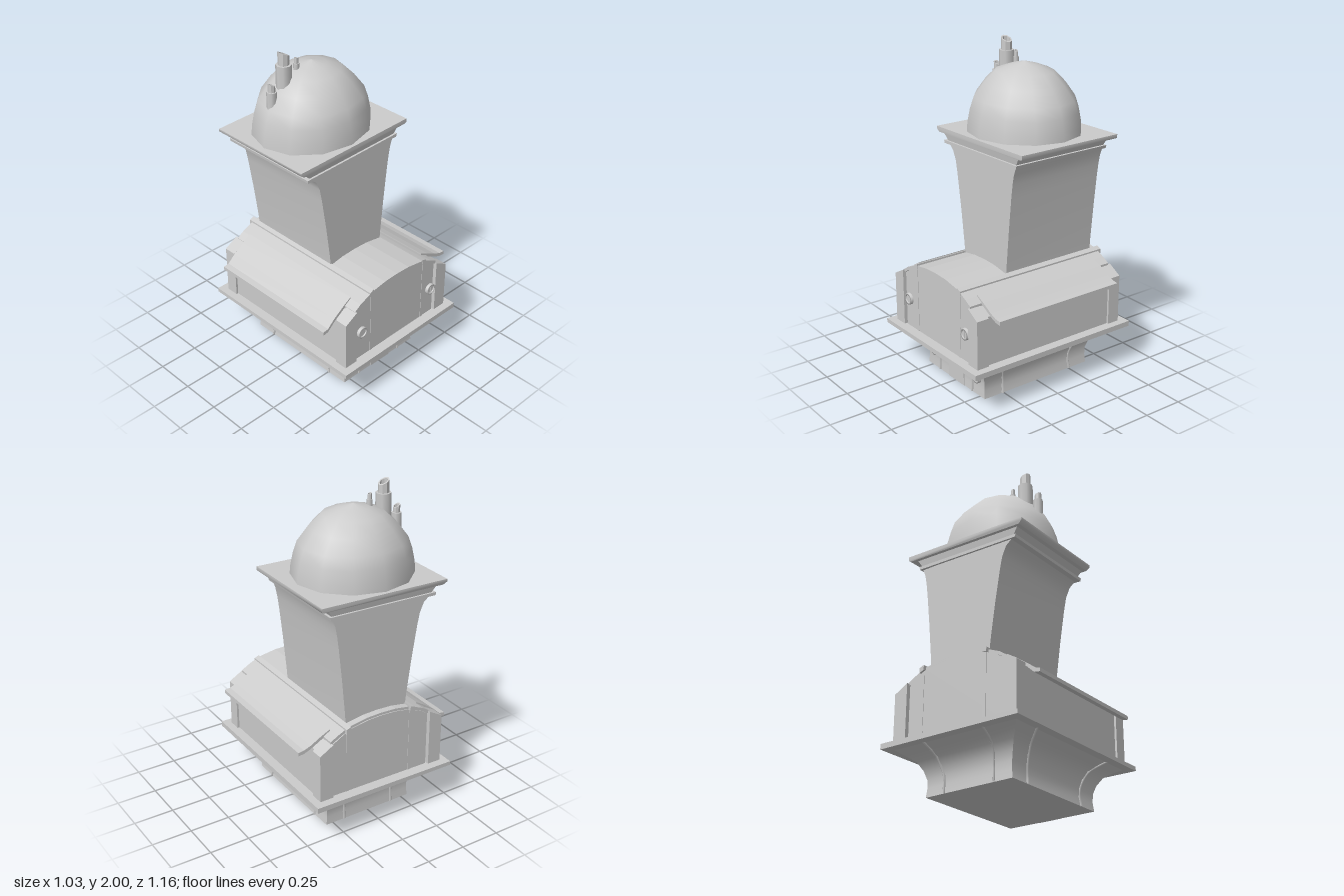
import * as THREE from 'three';

const grey = new THREE.MeshStandardMaterial({ color: 0xcccccc });
const twoSided = new THREE.MeshStandardMaterial({ color: 0xcccccc, side: THREE.DoubleSide });

function add(parent, name, geometry, material = grey) {
  const mesh = new THREE.Mesh(geometry, material);
  mesh.name = name;
  parent.add(mesh);
  return mesh;
}

// Four-sided loft; each section is [xLeft, xRight, yLeft, yRight, zBack, zFront], bottom to top.
// Sides are smooth along their height, with sharp corners.
function loft(sections) {
  const pos = [], idx = [];
  const rings = sections.map(([xl, xr, yl, yr, zb, zf]) =>
    [[xl, yl, zf], [xr, yr, zf], [xr, yr, zb], [xl, yl, zb]]);
  for (let s = 0; s < 4; s++) {
    const start = pos.length / 3;
    rings.forEach(r => pos.push(...r[s], ...r[(s + 1) % 4]));
    for (let i = 0; i < rings.length - 1; i++) {
      const a = start + i * 2;
      idx.push(a, a + 1, a + 3, a, a + 3, a + 2);
    }
  }
  const cap = (ring, flip) => {
    const c = pos.length / 3;
    ring.forEach(p => pos.push(...p));
    idx.push(...(flip ? [c, c + 2, c + 1, c, c + 3, c + 2] : [c, c + 1, c + 2, c, c + 2, c + 3]));
  };
  cap(rings[0], true);
  cap(rings[rings.length - 1], false);
  const g = new THREE.BufferGeometry();
  g.setAttribute('position', new THREE.Float32BufferAttribute(pos, 3));
  g.setIndex(idx);
  g.computeVertexNormals();
  return g;
}

// Extrudes an x-y outline between two z positions.
function prism(points, z0, z1) {
  const shape = new THREE.Shape(points.map(p => new THREE.Vector2(...p)));
  const g = new THREE.ExtrudeGeometry(shape, { depth: z1 - z0, bevelEnabled: false });
  return g.translate(0, 0, z0);
}

// A sheet of even thickness that follows a line of x-y points.
function sheet(points, thickness, z0, z1) {
  return prism([...points.map(([x, y]) => [x, y - thickness]), ...points.slice().reverse()], z0, z1);
}

// Flare of the pedestal: [y, half width, half depth]
const flare = [[0, 0.297, 0.388], [0.05, 0.29, 0.385], [0.1, 0.292, 0.386], [0.15, 0.307, 0.4],
  [0.2, 0.335, 0.43], [0.235, 0.38, 0.475], [0.27, 0.435, 0.54]];

function buildPedestal(root) {
  const g = new THREE.Group();
  g.name = 'pedestal';
  root.add(g);
  add(g, 'flaredFoot', loft(flare.map(([y, hx, hz]) => [-hx, hx, y, y, -hz, hz])));
  // Curved ribs on all four faces
  const ribLine = (fn) => new THREE.TubeGeometry(
    new THREE.CatmullRomCurve3(flare.map(fn)), 14, 0.009, 4);
  for (const s of [-1, 1]) {
    for (const m of [-1, 1]) {
      add(g, 'endRib', ribLine(([y, , hz]) =>
        new THREE.Vector3(s * (0.17 + (y < 0.1 ? 0 : (y - 0.1) * 0.2)), y, m * hz)));
      add(g, 'sideRib', ribLine(([y, hx]) =>
        new THREE.Vector3(m * hx, y, s * (0.25 + (hx - 0.29) * 0.7))));
    }
  }
  // Arched doorway panel
  const arch = new THREE.Shape();
  arch.moveTo(-0.07, 0);
  arch.lineTo(0.09, 0);
  arch.lineTo(0.085, 0.12);
  arch.quadraticCurveTo(0.08, 0.175, 0.045, 0.175);
  arch.lineTo(-0.025, 0.175);
  arch.quadraticCurveTo(-0.06, 0.175, -0.065, 0.12);
  const door = new THREE.ExtrudeGeometry(arch, { depth: 0.03, bevelEnabled: false, curveSegments: 5 });
  add(g, 'archedDoor', door.translate(0, 0, 0.362));
  add(g, 'ledge', loft([[-0.472, 0.475, 0.258, 0.262, -0.58, 0.577], [-0.472, 0.475, 0.283, 0.295, -0.58, 0.577]]));
}

// Ring window with a disc behind it
function porthole(root, x, y, z) {
  const g = new THREE.Group();
  g.name = 'porthole';
  g.position.set(x, y, z);
  add(g, 'portholeRing', new THREE.LatheGeometry([[0.026, -0.02], [0.026, 0.012], [0.036, 0.012], [0.036, -0.02]]
    .map(p => new THREE.Vector2(...p)), 14).rotateX(Math.PI / 2), twoSided);
  add(g, 'portholeGlass', new THREE.CylinderGeometry(0.027, 0.027, 0.02, 14).rotateX(Math.PI / 2)).position.z = -0.004;
  if (x > 0) add(g, 'portholeBar', new THREE.BoxGeometry(0.007, 0.056, 0.012)).position.z = 0.004;
  root.add(g);
}

const roofLine = [[-0.345, 0.645], [-0.3, 0.675], [-0.205, 0.715], [-0.1, 0.733], [0, 0.738],
  [0.1, 0.735], [0.225, 0.715], [0.3, 0.68], [0.345, 0.655]];

function buildHall(root) {
  const g = new THREE.Group();
  g.name = 'hall';
  root.add(g);
  const under = roofLine.map(([x, y]) => [x, y - 0.015]).reverse();
  add(g, 'walls', prism([[-0.415, 0.28], [0.415, 0.28], [0.415, 0.6], ...under, [-0.415, 0.585]], -0.5, 0.5));
  // End panels set between the corner posts
  for (const [z0, z1] of [[0.49, 0.515], [-0.515, -0.49]]) {
    add(g, 'endPanel', prism([[-0.33, 0.28], [0.33, 0.28], ...under.map(([x, y]) => [x * 0.955, y])], z0, z1));
    for (const x of [-0.205, 0.235]) {
      add(g, 'endPilaster', new THREE.BoxGeometry(0.02, 0.415, 0.03)).position.set(x, 0.49, (z0 + z1) / 2);
    }
  }
  for (const s of [-1, 1]) {
    for (const z of [-0.53, 0.45]) {
      const outline = [[0.34, 0.28], [0.428, 0.28], [0.428, 0.595], [0.34, 0.645]].map(([x, y]) => [s * x, y]);
      add(g, 'cornerPost', prism(s > 0 ? outline : outline.reverse(), z, z + 0.08));
    }
  }
  // Roof: long arched middle, seams, and shorter eaves
  add(g, 'archedRoof', sheet(roofLine, 0.022, -0.51, 0.518));
  add(g, 'leftSeam', sheet([[0.22, 0.725], [0.25, 0.713]], 0.03, -0.53, 0.52));
  add(g, 'rightSeam', sheet([[-0.225, 0.717], [-0.195, 0.728]], 0.03, -0.53, 0.52));
  add(g, 'leftEave', sheet([[0.3, 0.689], [0.36, 0.661], [0.43, 0.623], [0.475, 0.606], [0.513, 0.602]], 0.022, -0.435, 0.437));
  add(g, 'rightEave', sheet([[-0.517, 0.546], [-0.48, 0.552], [-0.43, 0.598], [-0.36, 0.647], [-0.3, 0.684]], 0.022, -0.445, 0.437));
  porthole(g, -0.29, 0.47, 0.52);
  porthole(g, 0.3, 0.47, 0.52);
  porthole(g, -0.21, 0.12, 0.394);
  porthole(g, 0.23, 0.12, 0.394);
}

function buildTower(root) {
  const g = new THREE.Group();
  g.name = 'tower';
  root.add(g);
  const outline = [[-0.195, 0.215, 0.68], [-0.205, 0.222, 0.78], [-0.235, 0.243, 1], [-0.267, 0.265, 1.2],
    [-0.283, 0.276, 1.28], [-0.31, 0.288, 1.34], [-0.365, 0.305, 1.385]];
  add(g, 'flaredShaft', loft(outline.map(([l, r, y]) => [l, r, y, y, -0.468, 0.17])));
  add(g, 'lowerMoulding', loft([[-0.382, 0.322, 1.37, 1.388, -0.48, 0.183], [-0.385, 0.328, 1.388, 1.408, -0.48, 0.183]]));
  add(g, 'neck', loft([[-0.36, 0.31, 1.388, 1.405, -0.468, 0.17], [-0.4, 0.345, 1.44, 1.46, -0.478, 0.18]]));
  add(g, 'topSlab', loft([[-0.42, 0.375, 1.432, 1.455, -0.497, 0.193], [-0.443, 0.393, 1.448, 1.462, -0.503, 0.195],
    [-0.443, 0.393, 1.464, 1.486, -0.503, 0.195]]));
}

function buildDome(root) {
  const profile = [[1, 1.455], [0.985, 1.53], [0.94, 1.61], [0.875, 1.68], [0.7, 1.765], [0.5, 1.835], [0.25, 1.867], [0, 1.89]];
  const dome = add(root, 'dome', new THREE.LatheGeometry(profile.map(p => new THREE.Vector2(...p)), 12), twoSided);
  dome.scale.set(0.37, 1, 0.33);
  dome.position.set(-0.035, 0, -0.153);
}

// Chimney: wide lower pipe and a narrow hollow tip cut at a slant
function chimney(root, x, r, tipR, y0, y1, y2) {
  const g = new THREE.Group();
  g.name = 'chimney';
  g.position.set(x, 0, -0.168);
  add(g, 'chimneyBase', new THREE.CylinderGeometry(r, r, y1 - y0, 8)).position.y = (y0 + y1) / 2;
  const wall = [[tipR, y1], [tipR, y2], [tipR * 0.72, y2], [tipR * 0.72, y1]];
  const tip = new THREE.LatheGeometry(wall.map(p => new THREE.Vector2(...p)), 8).toNonIndexed();
  const p = tip.attributes.position;
  for (let i = 0; i < p.count; i++) {
    if (p.getY(i) > y1 + 0.001) p.setY(i, y2 - (p.getX(i) + tipR) * 0.5);
  }
  tip.computeVertexNormals();
  add(g, 'chimneyTip', tip, twoSided);
  root.add(g);
}

export function createModel() {
  const root = new THREE.Group();
  root.name = 'domedTower';
  buildPedestal(root);
  buildHall(root);
  buildTower(root);
  buildDome(root);
  chimney(root, -0.322, 0.03, 0.021, 1.66, 1.785, 1.835);
  chimney(root, -0.229, 0.046, 0.033, 1.75, 1.92, 2.0);
  chimney(root, -0.135, 0.017, 0.012, 1.8, 1.895, 1.935);
  return root;
}
